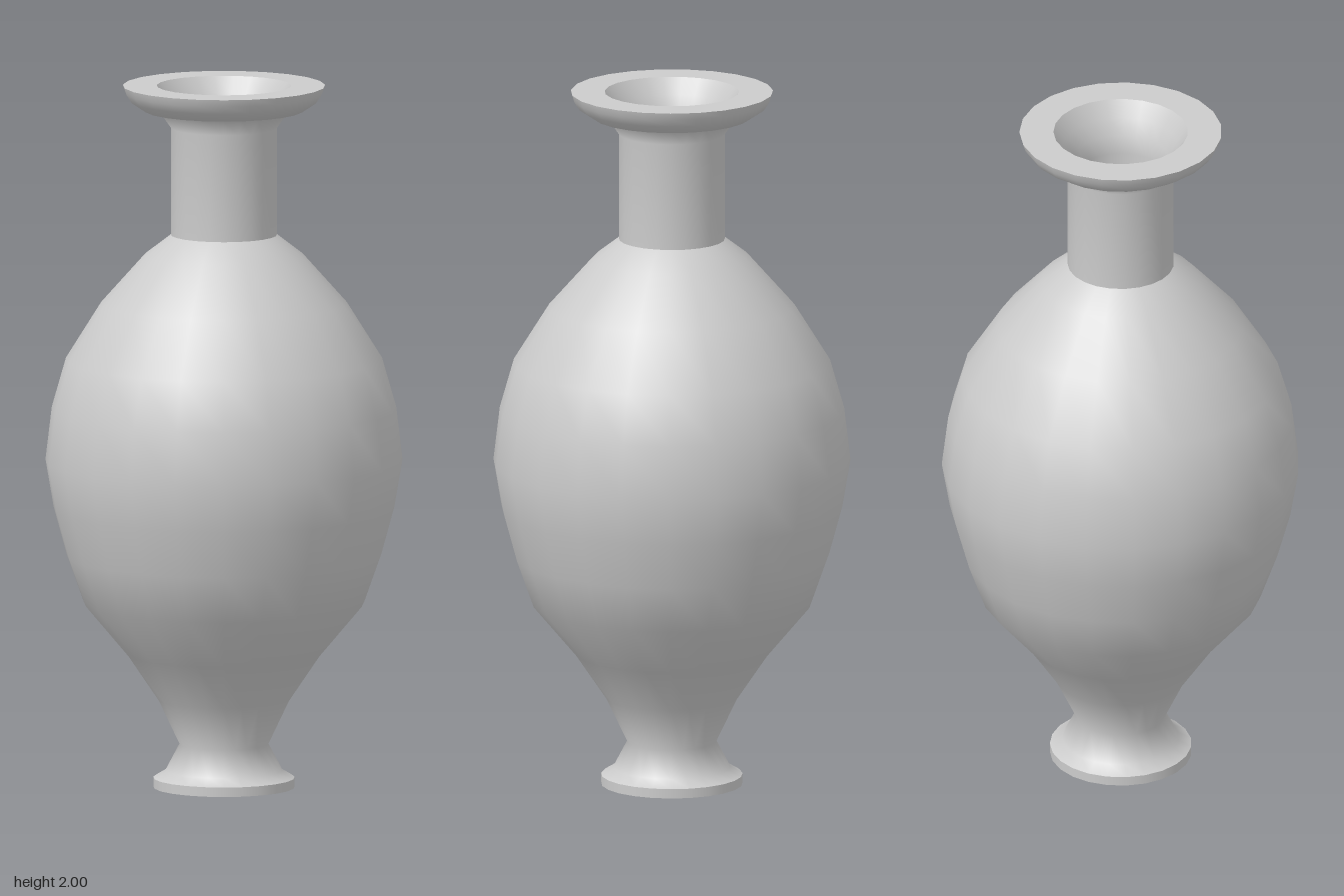
import * as THREE from 'three';

const SIDES = 23;

export function createModel() {
  const vase = new THREE.Group();
  vase.name = 'vase';
  const material = new THREE.MeshStandardMaterial({ color: 0xcccccc });

  // Each part is one smooth revolved band; edges between bands stay sharp.
  function turn(name, profile) {
    const points = profile.map(([r, y]) => new THREE.Vector2(r, y));
    const mesh = new THREE.Mesh(new THREE.LatheGeometry(points, SIDES, Math.PI / 2), material);
    mesh.name = name;
    vase.add(mesh);
  }

  // Foot
  turn('footBottom', [[0, 0], [0.2, 0]]);
  turn('footEdge', [[0.2, 0], [0.2, 0.027]]);

  // Foot flare running smoothly into the egg-shaped body
  turn('body', [
    [0.2, 0.027], [0.165, 0.048], [0.126, 0.122], [0.187, 0.25], [0.275, 0.38],
    [0.397, 0.525], [0.445, 0.66], [0.482, 0.795], [0.505, 0.93], [0.487, 1.08],
    [0.447, 1.22], [0.347, 1.38], [0.222, 1.52], [0.15, 1.575],
  ]);

  // Neck with a small flare under the lip
  turn('neck', [[0.15, 1.575], [0.15, 1.88], [0.182, 1.925]]);

  // Lip
  turn('lipUnderside', [[0.182, 1.925], [0.225, 1.93], [0.265, 1.957], [0.28, 1.98], [0.286, 2]]);
  turn('lipTop', [[0.286, 2], [0.19, 2]]);

  // Hollow inside
  turn('mouthInside', [[0.19, 2], [0.16, 1.955], [0.137, 1.91], [0.125, 1.86], [0.125, 1.56]]);
  turn('bodyInside', [
    [0.125, 1.56], [0.2, 1.5], [0.32, 1.36], [0.42, 1.2], [0.475, 0.93],
    [0.415, 0.66], [0.367, 0.54], [0.245, 0.4], [0.17, 0.28],
  ]);
  turn('floorInside', [[0.17, 0.28], [0, 0.28]]);

  return vase;
}
